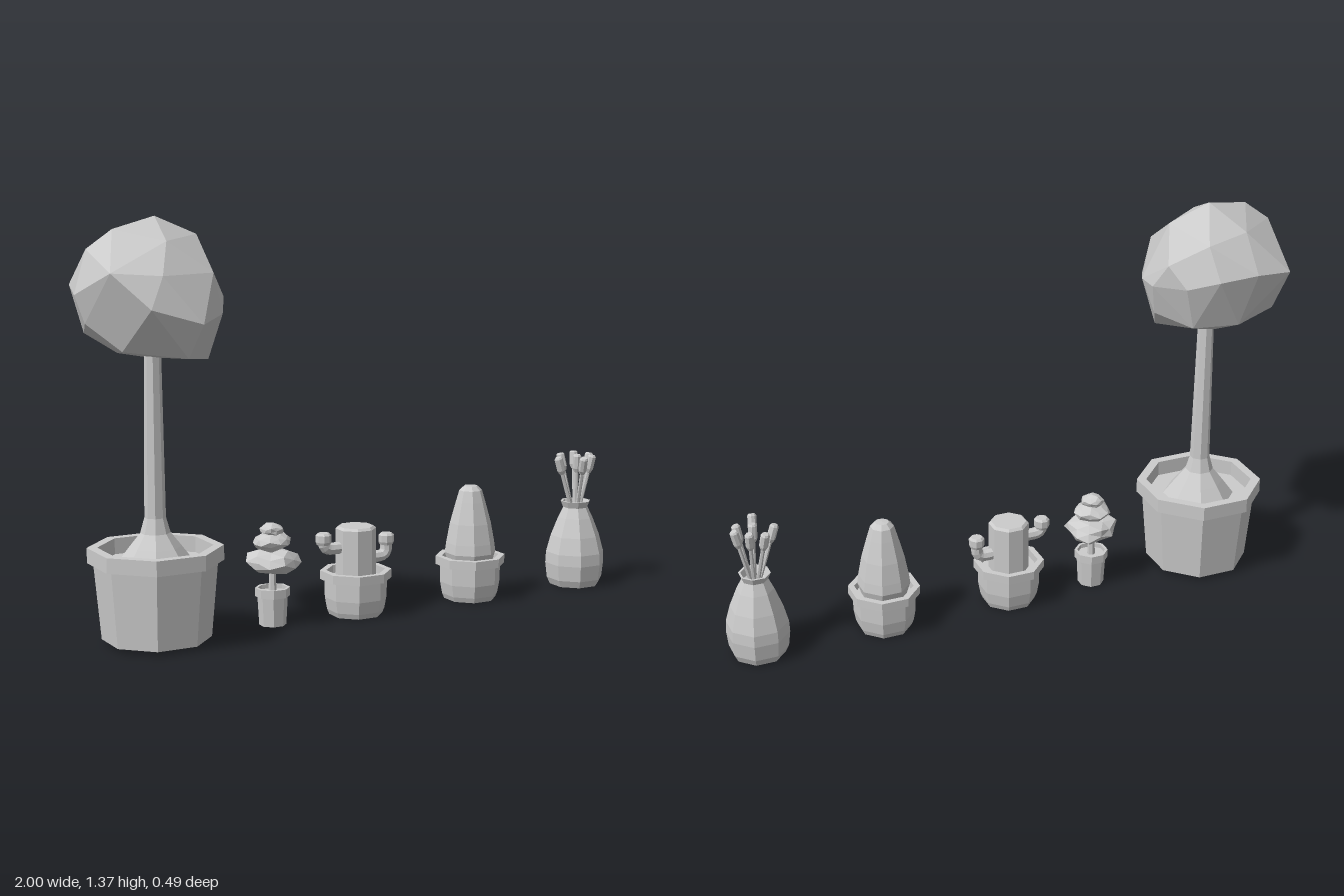
import * as THREE from 'three';
import { ConvexGeometry } from 'three/addons/geometries/ConvexGeometry.js';

const material = new THREE.MeshStandardMaterial({ color: 0xcccccc, flatShading: true, side: THREE.DoubleSide });
const FLAT = 1 / Math.cos(Math.PI / 8); // half-width of an octagon to its corner radius

function add(parent, name, geometry, x = 0, y = 0, z = 0) {
  const mesh = new THREE.Mesh(geometry, material);
  mesh.name = name;
  mesh.position.set(x, y, z);
  parent.add(mesh);
  return mesh;
}

// Eight-sided turned shape with a flat side to the front; profile is [halfWidth, y] going up
function octagon(profile) {
  const points = profile.map(([r, y]) => new THREE.Vector2(r * FLAT, y));
  return new THREE.LatheGeometry(points, 8, Math.PI / 8);
}

function plant(root, name, x, z) {
  const group = new THREE.Group();
  group.name = name;
  group.position.set(x, 0, z);
  root.add(group);
  return group;
}

// Rounded bowl pot with a stepped rim and soil inside
function bowlPot(parent) {
  add(parent, 'pot', octagon([
    [0, 0], [0.084, 0], [0.091, 0.018], [0.098, 0.06], [0.099, 0.123],
    [0.113, 0.123], [0.113, 0.153], [0.093, 0.153], [0.093, 0.125], [0, 0.125],
  ]));
}

// Squashed faceted leaf cushion with slightly uneven corners
function cushion(rx, ry, rz, seed) {
  const geometry = new THREE.IcosahedronGeometry(1, 1);
  const p = geometry.attributes.position;
  const v = new THREE.Vector3();
  for (let i = 0; i < p.count; i++) {
    v.fromBufferAttribute(p, i);
    const k = 0.95 + 0.1 * Math.sin(v.x * 5.1 + v.y * 3.7 + v.z * 7.3 + seed);
    p.setXYZ(i, v.x * rx * k, v.y * ry * k, v.z * rz * k);
  }
  return geometry;
}

function buildTree(root) {
  const tree = plant(root, 'ballTree', -0.741, -0.01);
  add(tree, 'treePot', octagon([
    [0, 0.013], [0.164, 0.013], [0.185, 0.265], [0.203, 0.265], [0.203, 0.315],
    [0.172, 0.315], [0.172, 0.262], [0, 0.262],
  ]));
  add(tree, 'trunk', octagon([
    [0.115, 0.262], [0.078, 0.315], [0.045, 0.36], [0.032, 0.41], [0.025, 0.95], [0, 0.95],
  ]));
  // Uneven crown spanned by its corners
  const corners = [
    [-0.715, 1.37, -0.04], [-0.875, 1.335, 0.0], [-0.58, 1.31, -0.02], [-0.74, 1.3, 0.11],
    [-0.955, 1.275, -0.02], [-0.8, 1.29, -0.15], [-0.65, 1.27, -0.175], [-0.53, 1.2, -0.12],
    [-0.6, 1.2, 0.15], [-0.79, 1.2, 0.195], [-0.94, 1.21, 0.14], [-0.94, 1.15, -0.21],
    [-0.8, 1.17, -0.245], [-0.665, 1.16, -0.235], [-0.57, 1.13, -0.18], [-0.505, 1.11, -0.06],
    [-0.505, 1.11, 0.02], [-0.57, 1.07, 0.15], [-0.675, 1.05, 0.24], [-0.84, 1.1, 0.22],
    [-1, 1.135, -0.01], [-0.97, 1.045, 0.0], [-0.92, 1.0, -0.14], [-0.76, 0.985, -0.2],
    [-0.61, 0.98, -0.16], [-0.88, 0.96, 0.08], [-0.705, 0.94, 0.19], [-0.58, 0.918, 0.06],
    [-0.74, 0.92, -0.07], [-0.84, 0.94, -0.06], [-0.53, 1.0, -0.03],
  ];
  add(root, 'treeCrown', new ConvexGeometry(corners.map((c) => new THREE.Vector3(...c))));
}

function buildTopiary(root) {
  const topiary = plant(root, 'tieredTopiary', -0.317, -0.022);
  add(topiary, 'topiaryPot', octagon([
    [0, 0], [0.042, 0], [0.047, 0.098], [0.054, 0.098], [0.054, 0.127],
    [0.045, 0.127], [0.045, 0.112], [0, 0.112],
  ]));
  add(topiary, 'stem', new THREE.CylinderGeometry(0.01, 0.014, 0.09, 6), 0, 0.15, 0);
  const tiers = [[0.094, 0.046, 0.092, 0.218, -0.06], [0.068, 0.034, 0.066, 0.283, 0.08], [0.042, 0.023, 0.04, 0.323, -0.1]];
  tiers.forEach(([rx, ry, rz, y, tilt], i) => {
    const tier = add(topiary, 'leafTier' + (i + 1), cushion(rx, ry, rz, i * 2), 0, y, 0);
    tier.rotation.z = tilt;
  });
}

function buildArmedCactus(root) {
  const cactus = plant(root, 'armedCactus', -0.004, -0.015);
  bowlPot(cactus);
  add(cactus, 'cactusBody', octagon([[0.064, 0.12], [0.064, 0.297], [0.056, 0.305], [0, 0.305]]));
  // Bent arms, each with a wider blunt tip
  for (const [name, side, low, tip] of [['rightArm', -1, 0.235, 0.292], ['leftArm', 1, 0.19, 0.268]]) {
    const out = side < 0 ? 0.124 : 0.119;
    const path = new THREE.CurvePath();
    const at = (x, y) => new THREE.Vector3(side * x, y, 0);
    path.add(new THREE.LineCurve3(at(0.05, low), at(out - 0.03, low)));
    path.add(new THREE.QuadraticBezierCurve3(at(out - 0.03, low), at(out, low), at(out, low + 0.03)));
    path.add(new THREE.LineCurve3(at(out, low + 0.03), at(out, tip - 0.02)));
    add(cactus, name, new THREE.TubeGeometry(path, 9, 0.021, 8));
    const cap = [[0.021, tip - 0.04], [0.025, tip - 0.03], [0.025, tip - 0.007], [0.018, tip], [0, tip]];
    add(cactus, name + 'Tip', octagon(cap), side * out, 0, 0);
  }
}

function buildColumnCactus(root) {
  const cactus = plant(root, 'columnCactus', 0.455, -0.015);
  bowlPot(cactus);
  add(cactus, 'cactusBody', octagon([
    [0.07, 0.12], [0.083, 0.165], [0.079, 0.2], [0.067, 0.27], [0.048, 0.345],
    [0.037, 0.385], [0.022, 0.4], [0, 0.402],
  ]));
}

function buildVase(root) {
  const vase = plant(root, 'budVase', 0.9, -0.012);
  add(vase, 'vase', octagon([
    [0, 0], [0.082, 0], [0.093, 0.025], [0.099, 0.08], [0.097, 0.12], [0.082, 0.18],
    [0.058, 0.245], [0.041, 0.282], [0.05, 0.305], [0.043, 0.305], [0.034, 0.282], [0, 0.27],
  ]));
  // Stems fanning out of the neck with a blunt bud on each
  const tips = [[-0.078, 0, 0.468], [-0.026, 0.086, 0.475], [-0.03, -0.058, 0.472], [0.022, -0.048, 0.478],
    [0.044, 0.038, 0.472], [0.062, -0.005, 0.474], [-0.008, 0.018, 0.476]];
  const up = new THREE.Vector3(0, 1, 0);
  tips.forEach(([x, z, y], i) => {
    const foot = new THREE.Vector3(x * 0.18, 0.265, z * 0.18);
    const span = new THREE.Vector3(x, y, z).sub(foot);
    const length = span.length();
    const flower = new THREE.Group();
    flower.name = 'flower' + (i + 1);
    flower.position.copy(foot);
    flower.quaternion.setFromUnitVectors(up, span.normalize());
    vase.add(flower);
    add(flower, 'flowerStem', new THREE.CylinderGeometry(0.007, 0.007, length - 0.04, 6), 0, (length - 0.04) / 2, 0);
    add(flower, 'bud', octagon([[0, -0.068], [0.009, -0.064], [0.014, -0.05], [0.014, -0.006], [0.01, 0], [0, 0]]), 0, length, 0);
  });
}

export function createModel() {
  const root = new THREE.Group();
  root.name = 'pottedPlants';
  buildTree(root);
  buildTopiary(root);
  buildArmedCactus(root);
  buildColumnCactus(root);
  buildVase(root);
  return root;
}
